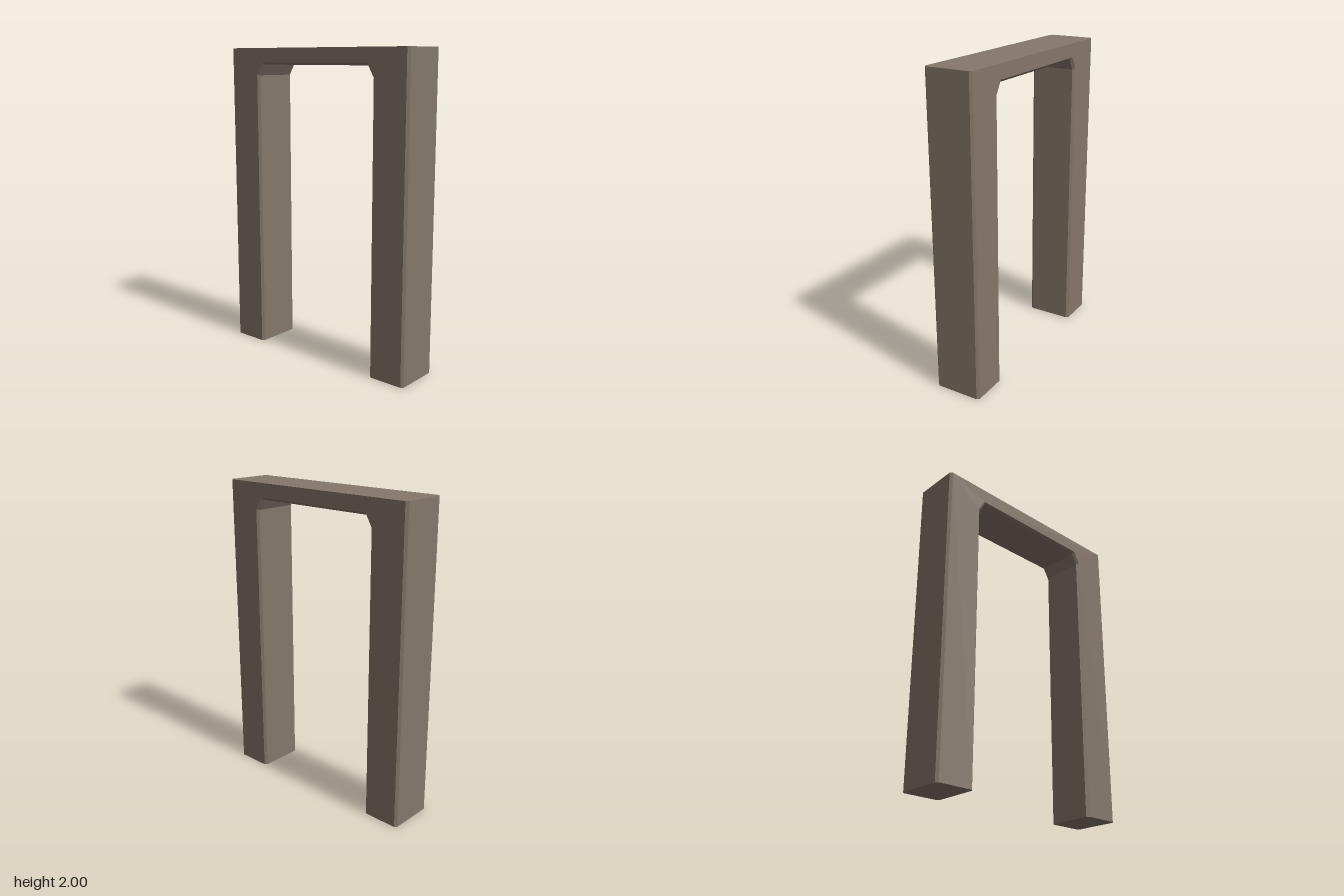
import * as THREE from 'three';

// Outline of the arch, anticlockwise from the front; inset pulls in the bevelled edges
function outline(inset) {
  const outer = 0.712 - inset, inner = 0.46 + inset;
  const shoulder = 0.42 + inset * 0.6, ceiling = 1.895 + inset, bend = 1.826 + inset * 0.4;
  return [
    [-outer, 0], [-inner, 0], [-inner, bend], [-shoulder, ceiling],
    [shoulder, ceiling], [inner, bend], [inner, 0], [outer, 0],
    [outer, 2], [-outer, 2],
  ].map(([x, y]) => new THREE.Vector2(x, y));
}

// Join outlines along z and close the back and front
function buildFrame(sections) {
  const positions = [];
  const add = (p, z) => positions.push(p.x, p.y, z);

  for (let s = 0; s < sections.length - 1; s++) {
    const back = sections[s], front = sections[s + 1];
    const n = back.points.length;
    for (let i = 0; i < n; i++) {
      const j = (i + 1) % n;
      add(front.points[i], front.z); add(back.points[i], back.z); add(back.points[j], back.z);
      add(front.points[i], front.z); add(back.points[j], back.z); add(front.points[j], front.z);
    }
  }

  const first = sections[0], last = sections[sections.length - 1];
  for (const [a, b, c] of THREE.ShapeUtils.triangulateShape(last.points, [])) {
    for (const k of [a, b, c]) add(last.points[k], last.z);
    for (const k of [a, c, b]) add(first.points[k], first.z);
  }

  const geometry = new THREE.BufferGeometry();
  geometry.setAttribute('position', new THREE.Float32BufferAttribute(positions, 3));
  geometry.computeVertexNormals();
  return geometry;
}

export function createModel() {
  const group = new THREE.Group();
  group.name = 'doorFrame';

  const wood = new THREE.MeshStandardMaterial({ color: 0x85776a });
  wood.name = 'greyBrown';

  // Posts and lintel in one piece, bevelled along the front and back edges
  const bevel = 0.015;
  const sections = [[-0.155, bevel], [-0.14, 0], [0.14, 0], [0.155, bevel]]
    .map(([z, inset]) => ({ z, points: outline(inset) }));
  const frame = new THREE.Mesh(buildFrame(sections), wood);
  frame.name = 'frame';
  group.add(frame);
  return group;
}
